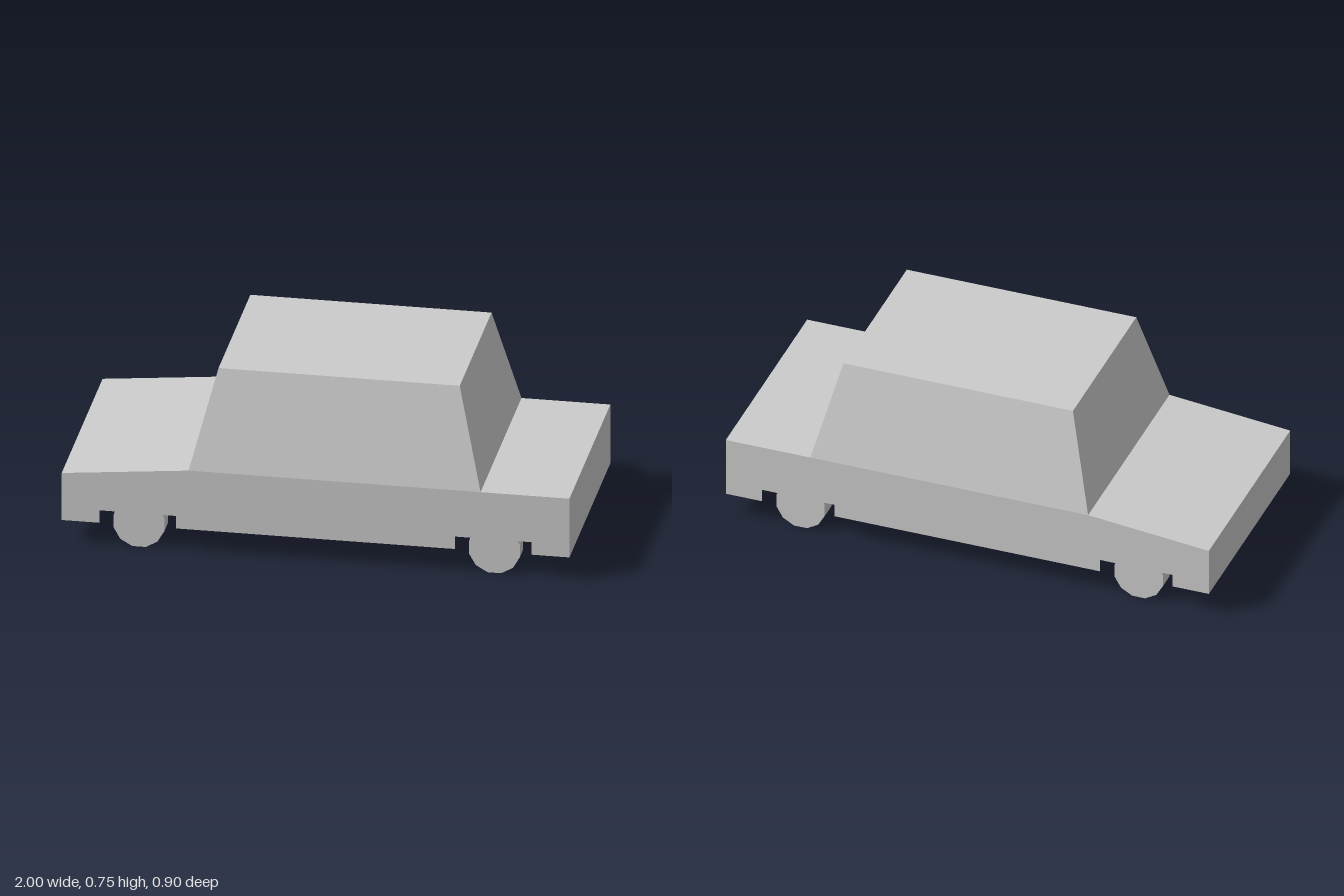
import * as THREE from 'three';

const material = new THREE.MeshStandardMaterial({ color: 0xcccccc, flatShading: true, side: THREE.DoubleSide });
const HALF = 0.45; // half width of the body

function addMesh(parent, name, geometry) {
  const mesh = new THREE.Mesh(geometry, material);
  mesh.name = name;
  parent.add(mesh);
  return mesh;
}

// Flat panel from four corners, counter-clockwise seen from outside
function panel(a, b, c, d) {
  const g = new THREE.BufferGeometry();
  g.setAttribute('position', new THREE.Float32BufferAttribute([a, b, c, a, c, d].flat(), 3));
  g.computeVertexNormals();
  return g;
}

// Panel spanning the car's width between two profile points [x, y, half width]
function crossPanel([x0, y0, w0], [x1, y1, w1]) {
  return panel([x0, y0, w0], [x1, y1, w1], [x1, y1, -w1], [x0, y0, -w0]);
}

export function createModel() {
  const car = new THREE.Group();
  car.name = 'car';

  // Hollow shell, open underneath: profile from the nose over the roof to the tail
  const shell = new THREE.Group();
  shell.name = 'bodyShell';
  car.add(shell);
  const profile = [
    [-1, 0.1, HALF], [-1, 0.3, HALF], [-0.5, 0.35, HALF], [-0.4, 0.75, 0.35],
    [0.55, 0.75, 0.35], [0.65, 0.35, HALF], [1, 0.35, HALF], [1, 0.1, HALF],
  ];
  const names = ['nosePanel', 'hood', 'windshield', 'roof', 'rearWindow', 'trunkLid', 'tailPanel'];
  names.forEach((name, i) => {
    // profile runs clockwise seen from +z, so go from the later point to the earlier
    addMesh(shell, name, crossPanel(profile[i], profile[i + 1]));
  });

  // Lower side with two square wheel cutouts
  const side = new THREE.Shape([
    [-1, 0.1], [-0.85, 0.1], [-0.85, 0.153], [-0.55, 0.153], [-0.55, 0.1],
    [0.55, 0.1], [0.55, 0.153], [0.85, 0.153], [0.85, 0.1],
    [1, 0.1], [1, 0.35], [-0.5, 0.35], [-1, 0.3],
  ].map(([x, y]) => new THREE.Vector2(x, y)));

  const corners = [[-0.5, 0.35, HALF], [0.65, 0.35, HALF], [0.55, 0.75, 0.35], [-0.4, 0.75, 0.35]];
  const wheelRadius = 0.1 / Math.cos(Math.PI / 12);

  for (const [s, label] of [[1, 'front'], [-1, 'back']]) {
    const lower = new THREE.ShapeGeometry(side);
    if (s < 0) lower.rotateY(Math.PI).scale(-1, 1, 1);
    if (s < 0) lower.setIndex([...lower.index.array].reverse());
    lower.translate(0, 0, s * HALF);
    lower.computeVertexNormals();
    addMesh(shell, label + 'SidePanel', lower);

    // Sloping cabin side
    const c = corners.map(([x, y, z]) => [x, y, s * z]);
    if (s < 0) c.reverse();
    addMesh(shell, label + 'CabinSide', panel(...c));

    // Twelve-sided wheels resting on a flat
    for (const x of [-0.7, 0.7]) {
      const wheel = new THREE.CylinderGeometry(wheelRadius, wheelRadius, 0.075, 12);
      wheel.rotateY(Math.PI / 12).rotateX(Math.PI / 2);
      addMesh(car, label + (x < 0 ? 'NoseWheel' : 'TailWheel'), wheel).position.set(x, 0.1, s * 0.3875);
    }
  }
  return car;
}
